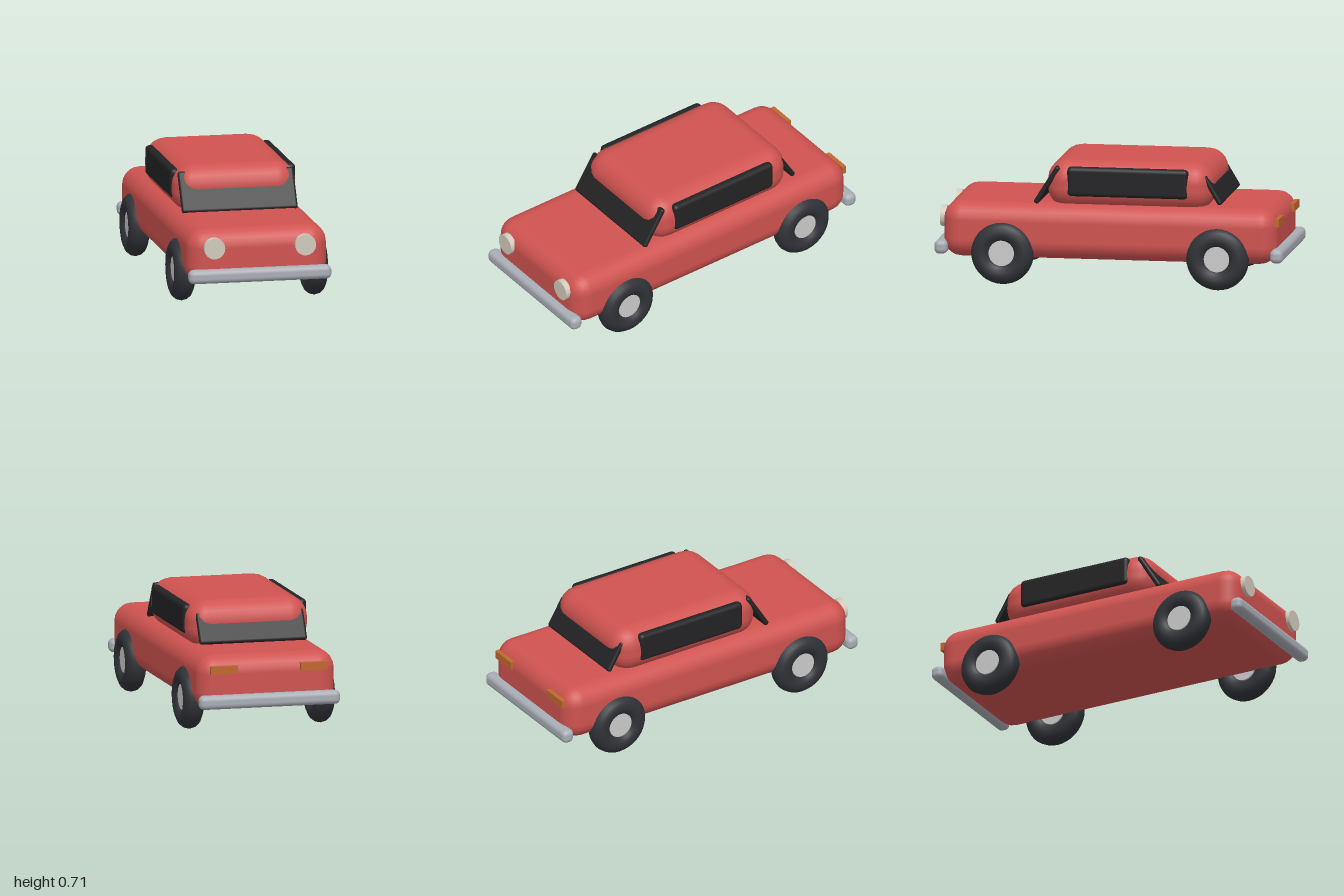
import * as THREE from 'three';
import { RoundedBoxGeometry } from 'three/addons/geometries/RoundedBoxGeometry.js';

const paint = (color) => new THREE.MeshStandardMaterial({ color });

export function createModel() {
  const car = new THREE.Group();
  car.name = 'car';
  const red = paint(0xcf5350), glass = paint(0x232325), rubber = paint(0x2f3237);
  const steel = paint(0xa9adb5), cream = paint(0xd2cabc), orange = paint(0xc0682f);
  const hubGrey = paint(0xcccccc);

  const add = (name, geometry, material, x, y, z) => {
    const mesh = new THREE.Mesh(geometry, material);
    mesh.name = name;
    mesh.position.set(x, y, z);
    car.add(mesh);
    return mesh;
  };
  const rounded = (w, h, d, r) => new RoundedBoxGeometry(w, h, d, 3, r);

  // Lower body and cabin
  add('body', rounded(0.81, 0.32, 1.915, 0.105), red, 0, 0.305, 0);
  add('cabin', rounded(0.71, 0.28, 0.955, 0.12), red, 0, 0.57, -0.105);

  // Sloping front and rear glass
  add('windshield', rounded(0.67, 0.25, 0.03, 0.014), glass, 0, 0.567, 0.365).rotation.x = -0.56;
  add('rearWindow', rounded(0.63, 0.19, 0.03, 0.014), glass, 0, 0.56, -0.58).rotation.x = 0.54;

  // Bumpers
  for (const [name, z] of [['frontBumper', 0.963], ['rearBumper', -0.963]])
    add(name, rounded(0.825, 0.08, 0.074, 0.03), steel, 0, 0.205, z);

  // Shared wheel and lamp shapes, axles turned along x and z
  const tireShape = new THREE.TorusGeometry(0.12, 0.06, 14, 36).rotateY(Math.PI / 2);
  const hubShape = new THREE.CylinderGeometry(0.073, 0.073, 0.08, 32).rotateZ(Math.PI / 2);
  const lampShape = new THREE.CylinderGeometry(0.06, 0.06, 0.035, 32).rotateX(Math.PI / 2);

  for (const s of [1, -1]) {
    const side = s > 0 ? 'left' : 'right';
    add(side + 'SideWindow', rounded(0.055, 0.17, 0.695, 0.025), glass, s * 0.336, 0.594, -0.102);
    add(side + 'Headlight', lampShape, cream, s * 0.263, 0.365, 0.962);
    add(side + 'TailLight', new THREE.BoxGeometry(0.16, 0.046, 0.025), orange, s * 0.264, 0.387, -0.958);
    for (const [end, z] of [['Front', 0.61], ['Rear', -0.625]]) {
      add(side + end + 'Tire', tireShape, rubber, s * 0.384, 0.181, z);
      add(side + end + 'Hub', hubShape, hubGrey, s * 0.384, 0.184, z);
    }
  }
  return car;
}
